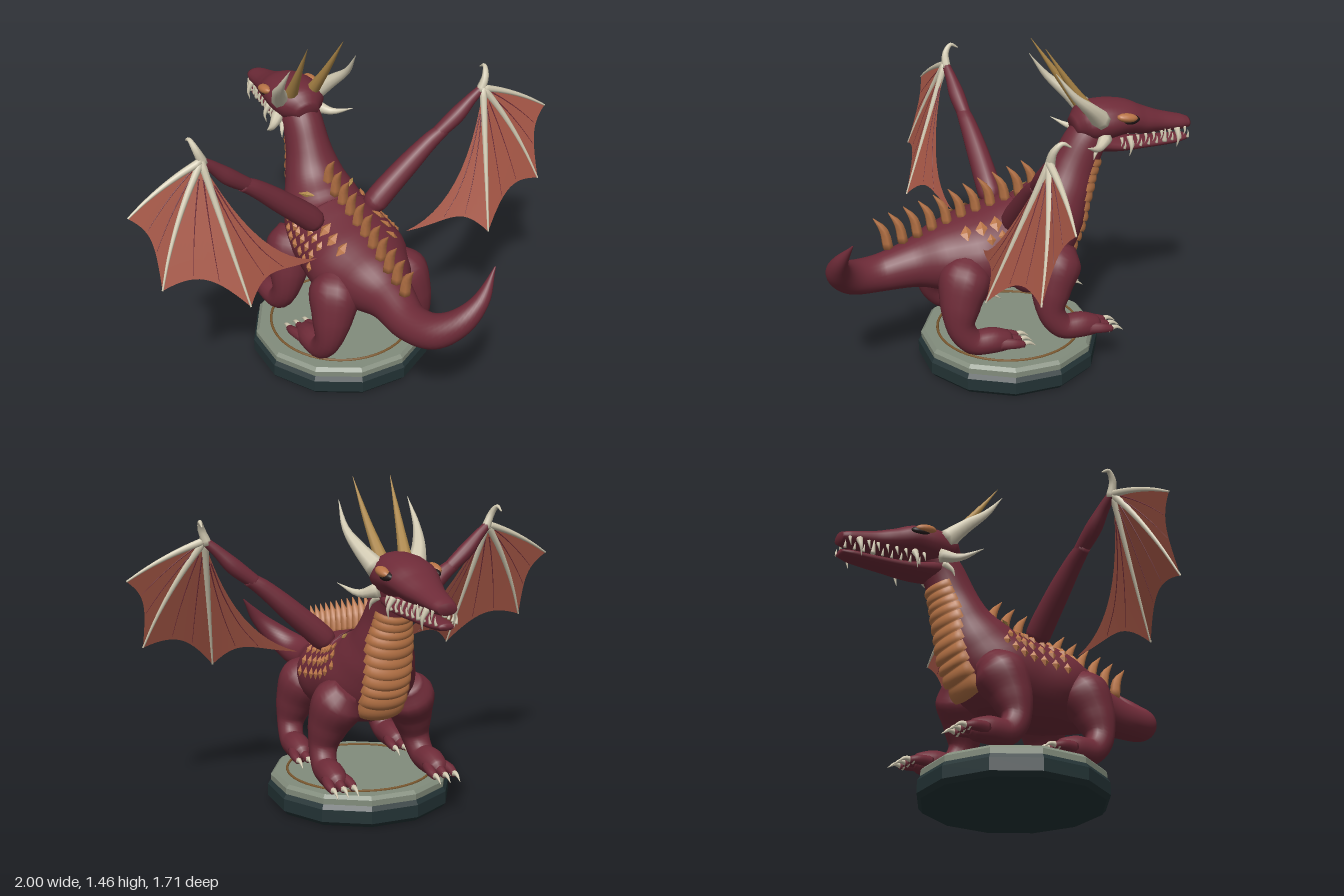
import * as THREE from 'three';
import { ParametricGeometry } from 'three/addons/geometries/ParametricGeometry.js';

const V = (x, y, z) => new THREE.Vector3(x, y, z);
const material = (name, color, side = THREE.FrontSide) => new THREE.MeshStandardMaterial({ name, color, side });
const AXES = [V(1, 0, 0), V(0, 1, 0), V(0, 0, 1)];

// Smooth path through sections [x, y, z, rx, ry]; at(t, angle, scale) gives a point on its skin.
function makePath(sections, axis) {
  const centre = new THREE.CatmullRomCurve3(sections.map(s => V(s[0], s[1], s[2])));
  const radius = new THREE.CatmullRomCurve3(sections.map(s => V(s[3], s[4] ?? s[3], 0)), false, 'catmullrom', 0.4);
  if (!axis) {
    const d = centre.getPoint(1).sub(centre.getPoint(0));
    axis = AXES.slice().sort((a, b) => Math.abs(a.dot(d)) - Math.abs(b.dot(d)))[0];
  }
  const n = sections.length - 1;
  const at = (i, a, k = 1) => {
    const t = THREE.MathUtils.clamp(i / n, 0, 1);
    const c = centre.getPoint(t), T = centre.getTangent(t), r = radius.getPoint(t);
    const u = axis.clone().addScaledVector(T, -axis.dot(T)).normalize();
    const v = T.clone().cross(u);
    return c.addScaledVector(u, Math.cos(a) * Math.max(r.x, 0) * k).addScaledVector(v, Math.sin(a) * Math.max(r.y, 0) * k);
  };
  return { n, at };
}

// Closed skin over a path, with capped ends.
function loft(path, sides = 16, perSection = 5) {
  const rows = path.n * perSection, pos = [], idx = [];
  for (let i = -1; i <= rows + 1; i++) {
    const t = THREE.MathUtils.clamp(i, 0, rows) / perSection, k = i < 0 || i > rows ? 0 : 1;
    for (let j = 0; j < sides; j++) pos.push(...path.at(t, j / sides * Math.PI * 2, k).toArray());
  }
  for (let i = 0; i < rows + 2; i++) for (let j = 0; j < sides; j++) {
    const a = i * sides + j, b = i * sides + (j + 1) % sides;
    idx.push(a, b, a + sides, b, b + sides, a + sides);
  }
  const g = new THREE.BufferGeometry();
  g.setAttribute('position', new THREE.Float32BufferAttribute(pos, 3));
  g.setIndex(idx);
  g.computeVertexNormals();
  return g;
}

function facetedLathe(profile, sides) {
  const g = new THREE.LatheGeometry(profile.map(p => new THREE.Vector2(...p)), sides, Math.PI / sides).toNonIndexed();
  g.computeVertexNormals();
  return g;
}

export function createModel() {
  const root = new THREE.Group();
  root.name = 'dragonStatue';
  const hide = material('maroon hide', 0x6e2b38);
  const skin = material('wing membrane', 0xa85847, THREE.DoubleSide);
  const scaleMat = material('orange scale', 0xb87446, THREE.DoubleSide);
  const bone = material('ivory bone', 0xd2cab2);
  const gold = material('golden horn', 0xad8748);
  const darkStone = material('dark stone', 0x233335);
  const greyStone = material('grey stone', 0x828c7c);
  const bronze = material('bronze trim', 0x7d5a30);
  const black = material('dark eye', 0x241a1a);

  const add = (name, geometry, mat, parent = root) => {
    const m = new THREE.Mesh(geometry, mat);
    m.name = name;
    parent.add(m);
    return m;
  };
  const limb = (name, sections, mat, sides, axis) => add(name, loft(makePath(sections, axis), sides), mat);
  // Tapered spike through points
  const spike = (name, pts, r, mat, tip = 0.001) =>
    add(name, loft(makePath(pts.map((p, i) => [...p, r + (tip - r) * i / (pts.length - 1)])), 8, 4), mat);

  // Base
  add('basePlinth', facetedLathe([[0, 0], [0.395, 0], [0.413, 0.02], [0.413, 0.075], [0.4, 0.095], [0, 0.095]], 12), darkStone);
  add('baseTop', facetedLathe([[0.4, 0.09], [0.4, 0.12], [0.385, 0.135], [0, 0.135]], 12), greyStone);
  const trim = add('baseTrim', new THREE.TorusGeometry(0.325, 0.006, 6, 48), bronze);
  trim.rotation.x = Math.PI / 2;
  trim.position.y = 0.137;

  // Tail, torso and neck in one skin
  const body = makePath([
    [0.29, 0.79, 0.765, 0.003], [0.2, 0.675, 0.805, 0.036], [0.115, 0.59, 0.79, 0.058], [0.04, 0.525, 0.72, 0.075],
    [0, 0.505, 0.6, 0.082], [0, 0.525, 0.45, 0.105], [0, 0.54, 0.32, 0.17, 0.15], [0, 0.55, 0.17, 0.23, 0.185],
    [0, 0.565, 0.02, 0.22, 0.205], [0, 0.6, -0.11, 0.21, 0.205], [0, 0.69, -0.2, 0.17, 0.17], [0, 0.79, -0.265, 0.13, 0.125],
    [0, 0.9, -0.315, 0.1, 0.105], [0, 1.0, -0.365, 0.09, 0.095], [0, 1.07, -0.43, 0.085, 0.08],
  ], AXES[0]);
  add('body', loft(body, 28, 6), hide);

  // Throat and chest plates
  const plates = 11, from = 9.05, to = 12.5;
  for (let i = 0; i < plates; i++) {
    const t0 = from + (to - from) * i / plates, dt = (to - from) / plates;
    const rx = Math.abs(body.at(t0, 0).x), half = Math.min(1.15, Math.asin(Math.min(0.95, 0.115 / rx)));
    add('chestPlate', new ParametricGeometry((u, v, out) => {
      const q = v * 2 - 1;
      const lift = 1 + (0.1 * Math.sin(Math.PI * Math.min(1, u * 0.75 + 0.2)) + 0.01) * (1 - q ** 6);
      out.copy(body.at(t0 + dt * 1.08 * u, Math.PI / 2 + q * half, u > 0.99 || u < 0.01 ? 0.98 : lift));
    }, 8, 14), scaleMat);
  }

  // Crest along the back
  for (let i = 0; i < 11; i++) {
    const f = i / 10, z = -0.12 + 0.67 * f, y = 0.815 - 0.175 * f;
    const p = [[0, y - 0.02, z, 0.027, 0.024], [0, y + 0.06, z + 0.015, 0.022, 0.02], [0, y + 0.125, z + 0.06, 0.002]];
    add('backSpike', loft(makePath(p), 6, 3), scaleMat);
  }

  // Head and lower jaw
  limb('head', [
    [0, 1.07, -0.3, 0.05, 0.04], [0, 1.085, -0.36, 0.108, 0.085], [0, 1.09, -0.44, 0.125, 0.09], [0, 1.09, -0.53, 0.118, 0.077],
    [0, 1.065, -0.62, 0.095, 0.063], [0, 1.045, -0.72, 0.068, 0.046], [0, 1.03, -0.82, 0.053, 0.034], [0, 1.025, -0.86, 0.04, 0.024],
  ], hide, 20);
  limb('lowerJaw', [
    [0, 1.0, -0.37, 0.08, 0.05], [0, 0.968, -0.5, 0.078, 0.032], [0, 0.957, -0.65, 0.06, 0.024],
    [0, 0.955, -0.8, 0.046, 0.021], [0, 0.957, -0.855, 0.03, 0.013],
  ], hide, 16);

  for (const s of [1, -1]) {
    const side = s > 0 ? 'left' : 'right';

    // Horns
    spike(side + 'MainHorn', [[s * 0.085, 1.11, -0.4], [s * 0.13, 1.18, -0.33], [s * 0.16, 1.26, -0.24], [s * 0.157, 1.37, -0.155]], 0.045, bone);
    spike(side + 'CrownHorn', [[s * 0.05, 1.12, -0.38], [s * 0.07, 1.28, -0.26], [s * 0.085, 1.46, -0.135]], 0.032, gold);
    spike(side + 'CheekHorn', [[s * 0.09, 1.03, -0.42], [s * 0.15, 1.01, -0.36], [s * 0.215, 1.045, -0.28]], 0.032, bone);
    spike(side + 'JawHorn', [[s * 0.08, 1.0, -0.4], [s * 0.1, 0.97, -0.37], [s * 0.105, 0.94, -0.36]], 0.016, bone);

    // Eye and brow
    const eye = add(side + 'Eye', new THREE.SphereGeometry(1, 14, 10), black);
    eye.position.set(s * 0.102, 1.105, -0.525);
    eye.scale.set(0.025, 0.022, 0.05);
    const brow = add(side + 'Brow', new THREE.SphereGeometry(1, 14, 10), scaleMat);
    brow.position.set(s * 0.113, 1.12, -0.51);
    brow.scale.set(0.025, 0.02, 0.05);
    brow.rotation.x = -0.15;

    // Teeth
    for (let i = 0; i < 9; i++) {
      const z = -0.5 - i * 0.041, f = i / 8, x = s * (0.083 - 0.038 * f);
      const big = i === 1 || i === 7, len = big ? 0.085 : 0.04;
      spike(big ? 'fang' : 'upperTooth', [[x, 1.02, z], [x * 1.12 + s * (big ? 0.015 : 0), 1.02 - len * 0.5, z], [x * 1.1 + s * (big ? 0.012 : 0), 1.02 - len, z + 0.005]], big ? 0.015 : 0.008, bone);
      const low = i === 5 ? 0.07 : 0.035;
      spike('lowerTooth', [[x * 0.93, 0.965, z - 0.02], [x * 1.02, 0.965 + low * 0.5, z - 0.02], [x, 0.965 + low, z - 0.018]], i === 5 ? 0.012 : 0.007, bone);
    }

    // Flank scales
    const flankScale = (t, a, w, h, mat) => {
      const ang = s > 0 ? a : Math.PI - a;
      const p = body.at(t, ang), m = add('flankScale', new THREE.OctahedronGeometry(1), mat);
      m.position.copy(p);
      m.lookAt(body.at(t, ang, 1.3));
      m.scale.set(w, h, 0.012);
    };
    for (let r = 0; r < 3; r++) for (let c = 0; c < 7; c++)
      flankScale(7.25 + c * 0.38 + (r % 2) * 0.1, -0.12 - r * 0.27, 0.021, 0.027, scaleMat);
    for (let i = 0; i < 3; i++) flankScale(6.65 + i * 0.45, -0.95, 0.03, 0.04, scaleMat);
    flankScale(10.1, -0.85, 0.045, 0.014, gold);

    // Legs, toes and claws
    for (const [name, dz] of [['HindLeg', 0], ['FrontLeg', -0.42]]) {
      limb(side + name, [
        [s * 0.13, 0.57, 0.22 + dz, 0.07], [s * 0.165, 0.5, 0.255 + dz, 0.115], [s * 0.2, 0.39, 0.29 + dz, 0.09],
        [s * 0.222, 0.29, 0.295 + dz, 0.062], [s * 0.232, 0.22, 0.245 + dz, 0.056], [s * 0.235, 0.212, 0.16 + dz, 0.058],
        [s * 0.235, 0.2, 0.09 + dz, 0.045], [s * 0.235, 0.195, 0.065 + dz, 0.02],
      ], hide, 16, AXES[0]);
      for (let i = -1; i <= 1; i++) {
        const x = s * (0.235 + i * 0.03), x2 = s * (0.235 + i * 0.046), y = 0.195;
        limb('toe', [[x, y + 0.01, 0.13 + dz, 0.028], [x2, y + 0.005, 0.07 + dz, 0.022], [x2, y - 0.005, 0.025 + dz, 0.015]], hide, 10);
        spike('claw', [[x2, y - 0.005, 0.045 + dz], [x2, y, 0.005 + dz], [x2, y - 0.022, -0.03 + dz]], 0.017, bone);
      }
    }

    // Wing arm and thumb claw
    limb(side + 'WingUpperArm', [[s * 0.13, 0.7, 0.03, 0.035], [s * 0.16, 0.74, 0.03, 0.055], [s * 0.3, 0.87, 0.035, 0.05], [s * 0.43, 0.985, 0.045, 0.038], [s * 0.49, 1.025, 0.05, 0.03]], hide, 14);
    limb(side + 'WingForearm', [[s * 0.45, 1.0, 0.045, 0.03], [s * 0.55, 1.08, 0.055, 0.036], [s * 0.62, 1.15, 0.063, 0.025], [s * 0.67, 1.195, 0.07, 0.018]], hide, 14);
    spike(side + 'WingThumb', [[s * 0.66, 1.18, 0.07], [s * 0.685, 1.245, 0.065], [s * 0.698, 1.28, 0.035], [s * 0.7, 1.262, 0]], 0.022, bone, 0.003);

    // Wing fingers and membrane panels
    const wrist = V(s * 0.67, 1.195, 0.075);
    const finger = (tip, sag) => new THREE.QuadraticBezierCurve3(wrist, sag ?? wrist.clone().lerp(tip, 0.5), tip);
    const fingers = [
      finger(V(s, 1.04, 0.1), V(s * 0.85, 1.14, 0.08)),
      finger(V(s * 0.92, 0.73, 0.2), V(s * 0.83, 0.98, 0.13)),
      finger(V(s * 0.585, 0.6, 0.305)),
      finger(V(s * 0.22, 0.65, 0.19), V(s * 0.5, 0.735, 0.24)),
    ];
    fingers.slice(0, 3).forEach(c => spike(side + 'WingFinger', c.getPoints(4).map(p => p.toArray()), 0.017, bone, 0.004));
    for (let i = 0; i < 3; i++) {
      const panel = (t, q) => {
        const k = t * (1 - 0.56 * q * (1 - q));
        return fingers[i].getPoint(k).lerp(fingers[i + 1].getPoint(k), q);
      };
      add(side + 'WingMembrane', new ParametricGeometry((u, v, out) => { out.copy(panel(Math.max(u, 0.001), v)); }, 12, 14), skin);
      for (const q of [0.35, 0.68])
        spike(side + 'WingVein', [0.15, 0.4, 0.7, 0.97].map(t => panel(t, q).toArray()), 0.003, hide);
    }
  }
  return root;
}
